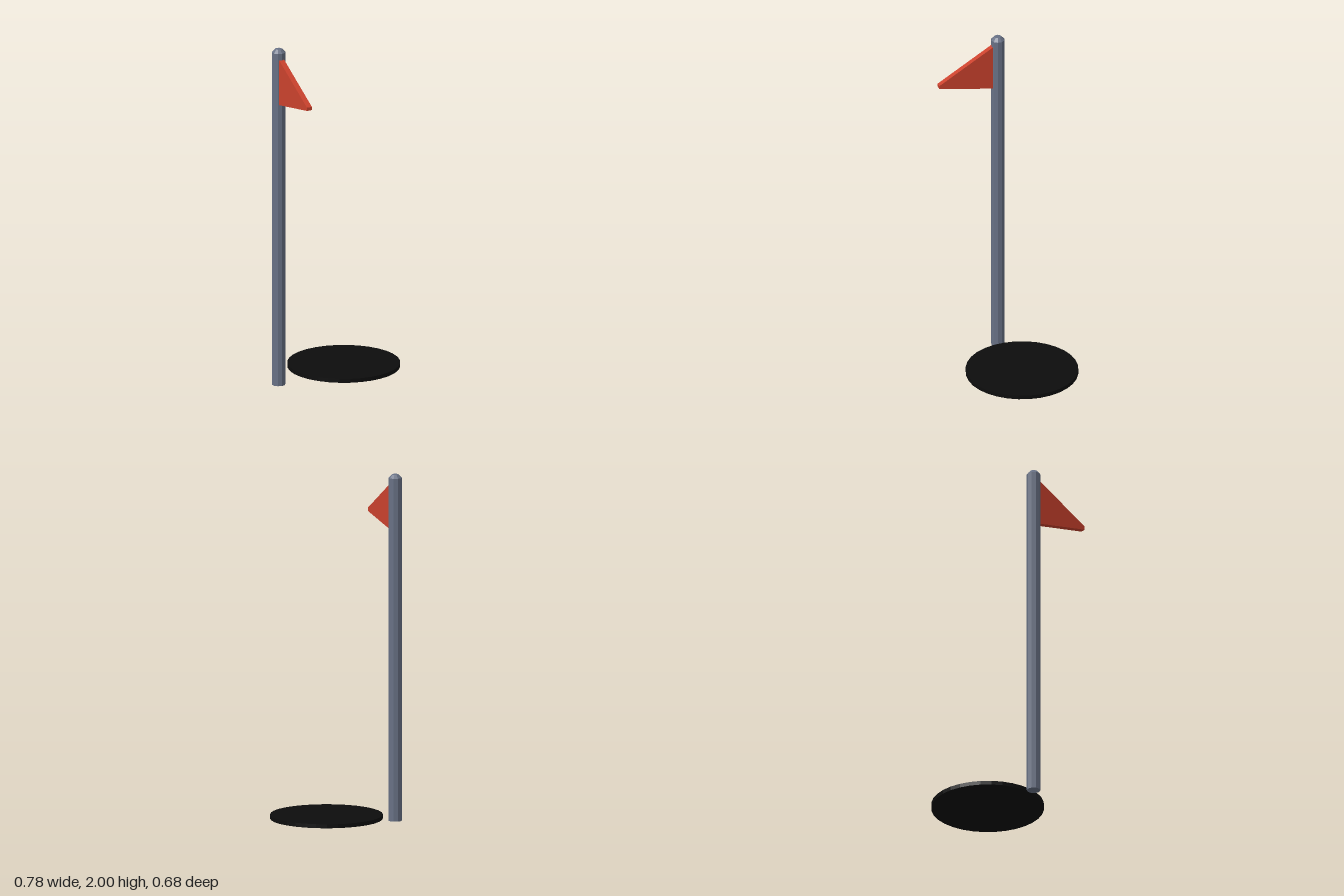
import * as THREE from 'three';

const steel = new THREE.MeshStandardMaterial({ name: 'steelGrey', color: 0x687185, flatShading: true });
const red = new THREE.MeshStandardMaterial({ name: 'flagRed', color: 0xcb422d, flatShading: true });
const black = new THREE.MeshStandardMaterial({ name: 'holeBlack', color: 0x0d0d0d, flatShading: true });

const POLE_X = -0.355, AXIS_Z = -0.019;

export function createModel() {
  const model = new THREE.Group();
  model.name = 'flagAndHole';
  const add = (name, geometry, material, x, y, z) => {
    const mesh = new THREE.Mesh(geometry, material);
    mesh.name = name;
    mesh.position.set(x, y, z);
    model.add(mesh);
  };

  // Ten-sided pole with a bevelled tip
  add('pole', new THREE.CylinderGeometry(0.039, 0.039, 1.98, 10), steel, POLE_X, 0.99, AXIS_Z);
  add('poleTip', new THREE.CylinderGeometry(0.02, 0.039, 0.02, 10), steel, POLE_X, 1.99, AXIS_Z);

  // Tapering pennant, drawn as (z, y) and extruded across x, rooted inside the pole
  const outline = new THREE.Shape([
    [0, 1.952], [0, 1.673], [0.337, 1.73], [0.337, 1.749],
  ].map(([z, y]) => new THREE.Vector2(z, y)));
  const pennant = new THREE.ExtrudeGeometry(outline, { depth: 0.032, bevelEnabled: false });
  pennant.translate(0, 0, -0.016).rotateY(-Math.PI / 2);
  add('pennant', pennant, red, POLE_X, 0, 0);

  // Dark disc of the hole, beside the pole
  add('holeDisc', new THREE.CylinderGeometry(0.321, 0.321, 0.023, 32), black, 0.07, 0.055, AXIS_Z);

  return model;
}
